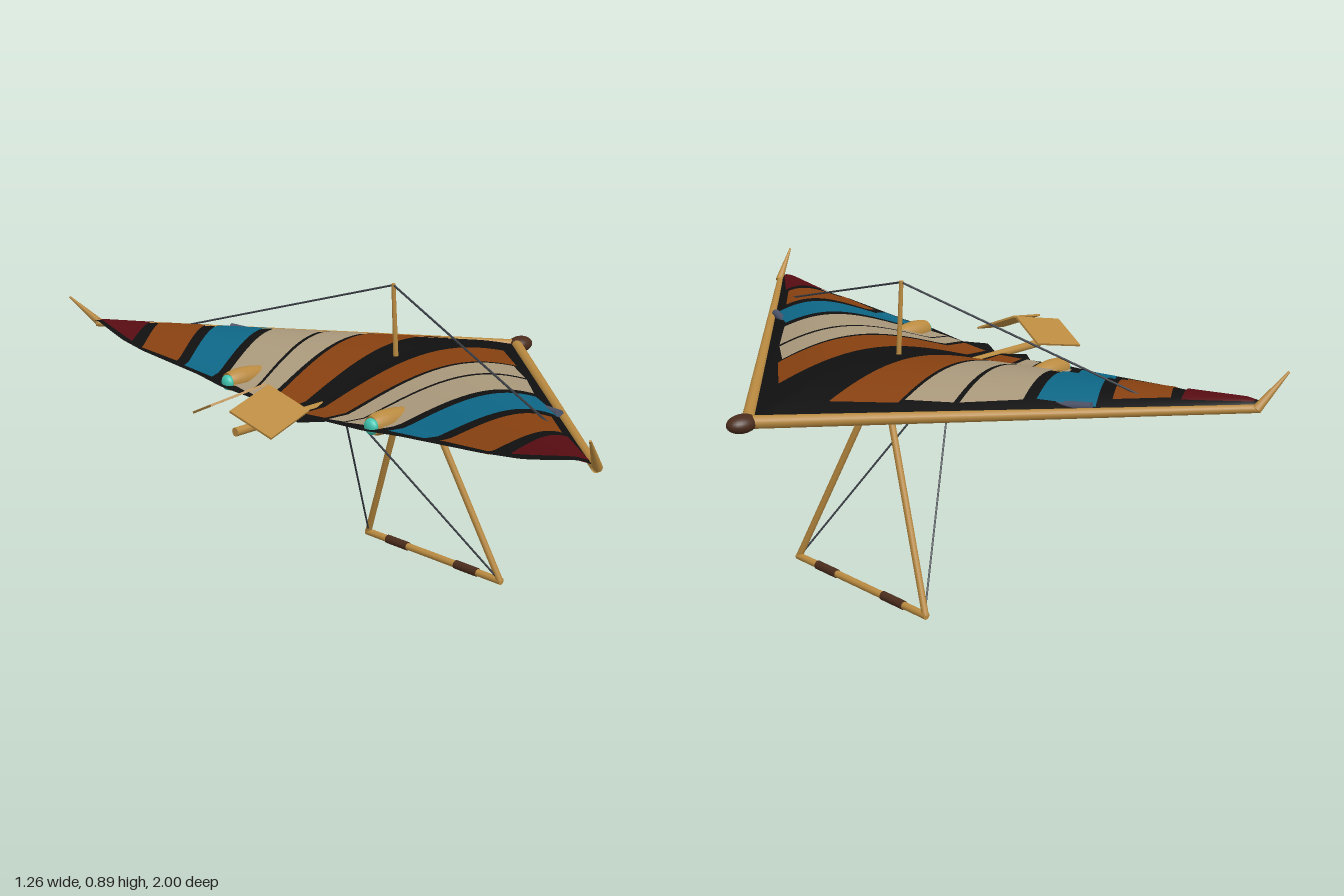
import * as THREE from 'three';

const mat = (name, color) => {
  const m = new THREE.MeshStandardMaterial({ color, side: THREE.DoubleSide });
  m.name = name;
  return m;
};

export function createModel() {
  const root = new THREE.Group();
  root.name = 'hangGlider';
  const wood = mat('tanWood', 0xb98a40);
  const black = mat('blackCloth', 0x101010);
  const orange = mat('burntOrangeCloth', 0x864010);
  const cream = mat('creamCloth', 0xa8977a);
  const teal = mat('tealCloth', 0x0d6685);
  const red = mat('darkRedCloth', 0x560c12);
  const leather = mat('darkLeather', 0x4a2c1c);
  const slate = mat('slateMetal', 0x4c5368);
  const wire = mat('wireGrey', 0x3a3f46);
  const glow = mat('cyanGlow', 0x3fc4b0);

  const add = (name, geo, material) => {
    const m = new THREE.Mesh(geo, material);
    m.name = name;
    root.add(m);
    return m;
  };

  // Round bar between two points, optionally tapered
  const bar = (name, a, b, r0, r1, material, sides = 14) => {
    const p = new THREE.Vector3(...a), q = new THREE.Vector3(...b);
    const d = q.clone().sub(p);
    const m = add(name, new THREE.CylinderGeometry(r1, r0, d.length(), sides), material);
    m.position.copy(p).add(q).multiplyScalar(0.5);
    m.quaternion.setFromUnitVectors(new THREE.Vector3(0, 1, 0), d.normalize());
    return m;
  };

  // Grid surface from a point rule over u, v in 0..1
  const grid = (rule, nu, nv) => {
    const pos = [], idx = [];
    for (let j = 0; j <= nv; j++) {
      for (let i = 0; i <= nu; i++) {
        pos.push(...rule(i / nu, j / nv));
        if (i < nu && j < nv) {
          const a = j * (nu + 1) + i, b = a + nu + 1;
          idx.push(a, a + 1, b, a + 1, b + 1, b);
        }
      }
    }
    const g = new THREE.BufferGeometry();
    g.setAttribute('position', new THREE.Float32BufferAttribute(pos, 3));
    g.setIndex(idx);
    g.computeVertexNormals();
    return g;
  };

  // Sail shape: leading edge, notched trailing edge and cambered height
  const leadX = (z) => 0.56 - 0.93 * Math.abs(z);
  const notches = [[0, -0.395], [0.08, -0.44], [0.14, -0.39], [0.28, -0.4], [0.4, -0.387],
    [0.66, -0.385], [0.96, -0.35]];
  const trailX = (z) => {
    const a = Math.abs(z);
    let k = 1;
    while (k < notches.length - 1 && a > notches[k][0]) k++;
    const [z0, x0] = notches[k - 1], [z1, x1] = notches[k];
    return x0 + (x1 - x0) * (a - z0) / (z1 - z0);
  };
  const sailY = (x, z) => {
    const s = Math.abs(z) / 0.96;
    const t = THREE.MathUtils.clamp((leadX(z) - x) / (leadX(z) + 0.395), 0, 1);
    const bump = Math.sin(Math.PI * Math.min(1, t / 0.9)) * 0.085 * (1 - 0.8 * s);
    return 0.612 - 0.01 * t + (0.063 + 0.01 * t) * s + bump;
  };
  add('sail', grid((u, v) => {
    const z = -0.96 + 1.92 * v;
    const x = THREE.MathUtils.lerp(trailX(z), leadX(z), u);
    return [x, sailY(x, z), z];
  }, 40, 96), black);

  // Coloured sail panels: corners (x, z) draped on both faces of the sail
  const panels = [
    ['innerOrangePanel', orange, [-0.376, 0.03], [0.37, 0.105], [0.255, 0.25], [-0.376, 0.118]],
    ['innerCreamPanel', cream, [-0.38, 0.135], [0.235, 0.255], [0.16, 0.36], [-0.375, 0.19]],
    ['outerCreamPanel', cream, [-0.378, 0.197], [0.15, 0.372], [0.035, 0.49], [-0.36, 0.325]],
    ['tealPanel', teal, [-0.375, 0.35], [0.01, 0.515], [-0.065, 0.65], [-0.376, 0.475]],
    ['outerOrangePanel', orange, [-0.368, 0.52], [-0.115, 0.665], [-0.215, 0.775], [-0.375, 0.68]],
    ['tipRedPanel', red, [-0.365, 0.74], [-0.225, 0.8], [-0.335, 0.945], [-0.344, 0.945]],
  ];
  const mix = THREE.MathUtils.lerp;
  for (const side of [1, -1]) {
    for (const [name, material, a, b, c, d] of panels) {
      for (const off of [0.004, -0.004]) {
        add(name, grid((u, v) => {
          const x = mix(mix(a[0], b[0], u), mix(d[0], c[0], u), v);
          const z = mix(mix(a[1], b[1], u), mix(d[1], c[1], u), v) * side;
          return [x, sailY(x, z) + off, z];
        }, 20, 8), material);
      }
    }
  }

  // Keel, nose cap and king post
  bar('keel', [-0.585, 0.598, 0], [0.57, 0.605, 0], 0.012, 0.012, wood);
  const nose = add('noseCap', new THREE.SphereGeometry(1, 24, 16), leather);
  nose.scale.set(0.046, 0.025, 0.033);
  nose.position.set(0.578, 0.611, 0);
  bar('kingPost', [0.02, 0.6, 0], [0.006, 0.896, 0], 0.008, 0.006, wood);

  // Control bar with leather grips
  bar('baseBar', [0.175, 0.016, -0.28], [0.175, 0.016, 0.28], 0.011, 0.011, wood);

  // Engine pod profile, nose first along the axis
  const podProfile = [[0, 0.17], [0.011, 0.16], [0.021, 0.135], [0.029, 0.09], [0.032, 0.05],
    [0.03, 0.02], [0.025, 0]].map(([r, y]) => new THREE.Vector2(r, y));

  for (const s of [1, -1]) {
    // Leading edge, wing tip and cross bar
    bar('leadingEdge', [0.56, 0.611, 0], [-0.335, 0.676, 0.965 * s], 0.018, 0.011, wood);
    bar('wingTip', [-0.325, 0.674, 0.96 * s], [-0.406, 0.766, 0.996 * s], 0.013, 0.003, wood);
    bar('crossBar', [0.17, 0.6, 0], [-0.055, 0.668, 0.645 * s], 0.012, 0.012, slate);

    // Control frame
    bar('upright', [0.085, 0.6, 0.02 * s], [0.175, 0.016, 0.275 * s], 0.01, 0.01, wood);
    bar('handGrip', [0.175, 0.016, 0.1 * s], [0.175, 0.016, 0.188 * s], 0.0135, 0.0135, leather);

    // Rigging wires
    bar('upperWire', [0.006, 0.892, 0], [-0.178, 0.685, 0.71 * s], 0.003, 0.003, wire, 6);
    bar('lowerWire', [-0.2, 0.592, 0], [0.175, 0.018, 0.272 * s], 0.003, 0.003, wire, 6);

    // Engine pod with glowing nozzle
    const pod = add('enginePod', new THREE.LatheGeometry(podProfile, 24), wood);
    pod.rotation.z = -Math.PI / 2;
    pod.position.set(-0.37, 0.63, 0.285 * s);
    const nozzle = add('nozzleGlow', new THREE.SphereGeometry(0.022, 16, 12), glow);
    nozzle.scale.x = 0.7;
    nozzle.position.set(-0.371, 0.628, 0.285 * s);

    // Tail plate, slanting down and out from the keel
    const inner = new THREE.Vector3(-0.63, 0.673, 0.037 * s);
    const fore = new THREE.Vector3(0.16, 0.03, -0.032 * s);
    const out = new THREE.Vector3(0.03, -0.054, 0.12 * s);
    const normal = fore.clone().cross(out).normalize();
    const plate = add('tailPlate', new THREE.BoxGeometry(fore.length(), out.length(), 0.006), wood);
    const xAxis = fore.clone().normalize();
    const yAxis = normal.clone().cross(xAxis);
    plate.quaternion.setFromRotationMatrix(new THREE.Matrix4().makeBasis(xAxis, yAxis, normal));
    plate.position.copy(inner).addScaledVector(fore, 0.5).addScaledVector(out, 0.5);
  }
  return root;
}
